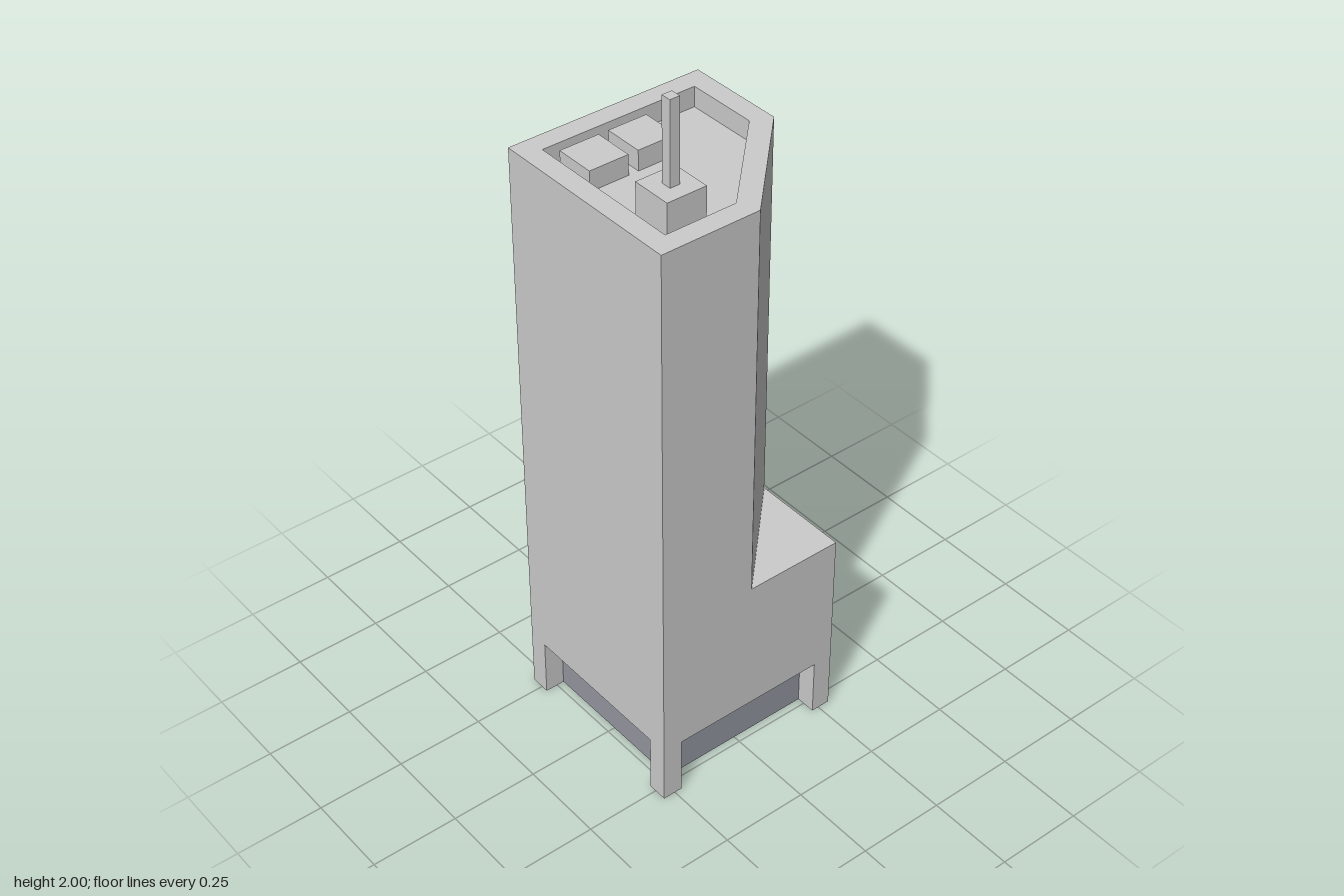
import * as THREE from 'three';

const U = 2 / 35; // one design module; the tower is 35 modules tall

export function createModel() {
  const group = new THREE.Group();
  const grey = new THREE.MeshStandardMaterial({ color: 0xcccccc, flatShading: true });
  const glass = new THREE.MeshStandardMaterial({ color: 0x9496a0, flatShading: true });

  function add(name, geometry, material = grey) {
    const mesh = new THREE.Mesh(geometry, material);
    mesh.name = name;
    group.add(mesh);
    return mesh;
  }

  // Square block of the given width, from y0 to y1 (all in modules)
  function block(name, x, z, width, y0, y1, material) {
    const mesh = add(name, new THREE.BoxGeometry(width * U, (y1 - y0) * U, width * U), material);
    mesh.position.set(x * U, ((y0 + y1) / 2) * U, z * U);
  }

  // Square plan with its front left corner cut at 45 degrees
  function plan(half, cut) {
    return [[-half, half], [cut, half], [half, cut], [half, -half], [-half, -half]]
      .map(([x, z]) => new THREE.Vector2(x * U, -z * U));
  }

  // Plan shape raised from y0 to y1
  function prism(name, shape, y0, y1) {
    const geometry = new THREE.ExtrudeGeometry(shape, { depth: (y1 - y0) * U, bevelEnabled: false });
    geometry.rotateX(-Math.PI / 2);
    geometry.translate(0, y0 * U, 0);
    add(name, geometry);
  }

  // Recessed lobby with a pillar at each corner
  block('lobby', 0, 0, 8, 0, 3, glass);
  for (const x of [-4.5, 4.5]) {
    for (const z of [-4.5, 4.5]) block('cornerPillar', x, z, 1, 0, 3);
  }

  // Square lower storeys and chamfered shaft
  block('lowerTower', 0, 0, 10, 3, 10);
  const outer = plan(5, 0);
  prism('upperTower', new THREE.Shape(outer), 10, 29);

  // Parapet of even thickness around the sunken roof
  const parapet = new THREE.Shape(outer);
  parapet.holes.push(new THREE.Path(plan(4, 1 - Math.SQRT2)));
  prism('parapet', parapet, 29, 30);

  // Roof equipment and mast
  block('roofUnit', -2.5, -2.5, 2, 29, 30);
  block('roofUnit', 0, -2.5, 2, 29, 30);
  block('mastBase', -2.5, 2.5, 2, 29, 31);
  block('mast', -2.5, 2.5, 0.5, 31, 35);

  return group;
}
